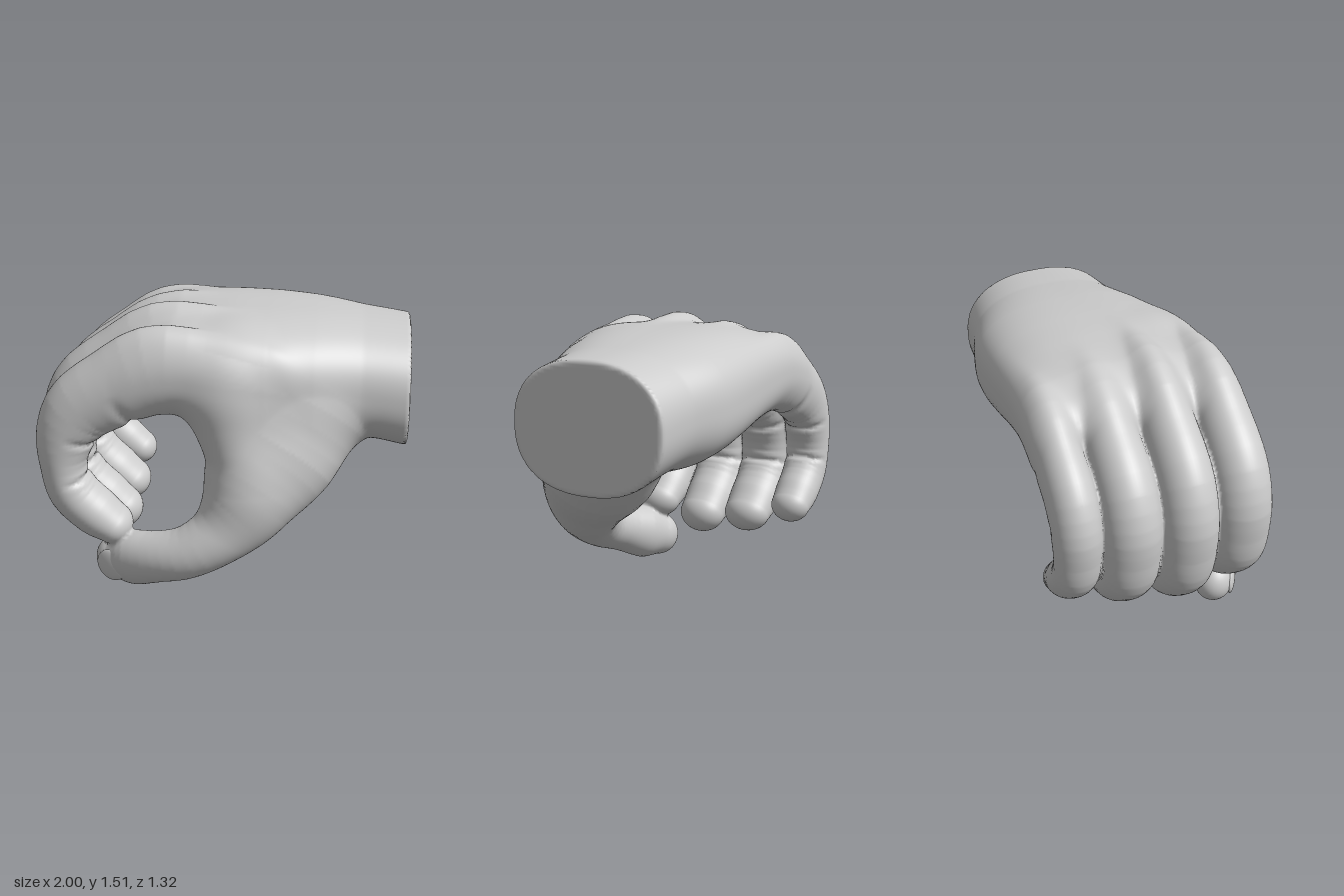
import * as THREE from 'three';

const material = new THREE.MeshStandardMaterial({ color: 0xcccccc, roughness: 0.7 });
const Z = new THREE.Vector3(0, 0, 1);
const { lerp, clamp } = THREE.MathUtils;

// Soft union and soft intersection of two distances
const join = (a, b, k) => Math.min(a, b) - Math.max(k - Math.abs(a - b), 0) ** 2 / (4 * k);
const meet = (a, b, k) => -join(-a, -b, k);

// Distance to a limb swept along a curve, with rounded ends.
// stations: [x, y, z, a, b] with a = half thickness, b = half width towards z.
// creases: places along the curve (0 to 1) folded on the inner side
function limb(stations, creases = [], count = 26) {
  const path = new THREE.CatmullRomCurve3(stations.map(([x, y, z]) => new THREE.Vector3(x, y, z)));
  const size = new THREE.CatmullRomCurve3(stations.map((s) => new THREE.Vector3(s[3], s[4], 0)));
  const spine = Array.from({ length: count + 1 }, (_, i) => {
    const t = path.getTangent(i / count);
    const s = Z.clone().addScaledVector(t, -t.z).normalize();
    const r = size.getPoint(i / count);
    return { c: path.getPoint(i / count), t, s, n: t.clone().cross(s), a: r.x, b: r.y };
  });
  return (x, y, z) => {
    // Nearest spine point, then the exact place between its two neighbours
    const ahead = ({ c, t }) => (x - c.x) * t.x + (y - c.y) * t.y + (z - c.z) * t.z;
    let best = Infinity, seg = 0;
    for (let i = 0; i <= count; i++) {
      const c = spine[i].c;
      const d = (x - c.x) ** 2 + (y - c.y) ** 2 + (z - c.z) ** 2;
      if (d < best) { best = d; seg = i; }
    }
    if (ahead(spine[seg]) < 0) seg--;
    seg = clamp(seg, 0, count - 1);
    const A = spine[seg], B = spine[seg + 1];
    const g0 = ahead(A), g1 = ahead(B);
    const u = g0 <= 0 ? 0 : g1 >= 0 ? 1 : g0 / (g0 - g1);
    const a = lerp(A.a, B.a, u), b = lerp(A.b, B.b, u);
    const dx = x - lerp(A.c.x, B.c.x, u), dy = y - lerp(A.c.y, B.c.y, u), dz = z - lerp(A.c.z, B.c.z, u);
    const along = (k) => dx * lerp(A[k].x, B[k].x, u) + dy * lerp(A[k].y, B[k].y, u) + dz * lerp(A[k].z, B[k].z, u);
    const i = along('n') / a, j = along('s') / b;
    const k = (seg === 0 && g0 < 0 ? g0 : seg === count - 1 && g1 > 0 ? g1 : 0) / a;
    const q = Math.sqrt(i * i + j * j + k * k) + 1e-6;
    let dent = 0;
    for (const at of creases) dent += 0.02 * Math.max(-i / q, 0) * Math.exp(-((((seg + u) / count - at) / 0.016) ** 2));
    return dent + q * (q - 1) / (Math.sqrt((i / a) ** 2 + (j / b) ** 2 + (k / a) ** 2) + 1e-6);
  };
}

// Wrist and palm sections, evenly spaced from the fingers (x = -0.5) to the wrist (x = 1):
// [bottom, top, back, front, squareness]
const PALM = [
  [1.0, 1.34, -0.63, 0.465, 2.9],
  [0.99, 1.45, -0.638, 0.48, 2.8],
  [0.92, 1.47, -0.643, 0.485, 2.8],
  [0.85, 1.468, -0.652, 0.46, 2.75],
  [0.8, 1.45, -0.645, 0.39, 2.6],
  [0.79, 1.415, -0.588, 0.3, 2.4],
  [0.735, 1.385, -0.555, 0.275, 2.35],
];
const heights = new THREE.CatmullRomCurve3(PALM.map((s) => new THREE.Vector3(s[0], s[1], s[4])));
const depths = new THREE.CatmullRomCurve3(PALM.map((s) => new THREE.Vector3(s[2], s[3], 0)));
const SECTIONS = Array.from({ length: 3001 }, (_, i) => [heights.getPoint(i / 3000), depths.getPoint(i / 3000)]);

function palmBlock(x, y, z) {
  const [h, d] = SECTIONS[clamp(Math.round((x + 0.5) * 2000), 0, 3000)];
  const a = (h.y - h.x) / 2, b = (d.y - d.x) / 2, p = h.z;
  const i = Math.abs(y - (h.x + h.y) / 2) / a, j = Math.abs(z - (d.x + d.y) / 2) / b;
  const q = Math.max((i ** p + j ** p) ** (1 / p), 1e-3);
  const side = (q - 1) / (Math.hypot((i / q) ** (p - 1) / a, (j / q) ** (p - 1) / b) + 1e-6);
  return meet(meet(side, -0.5 - x, 0.12), x - 0.988, 0.02);
}

// Skin between thumb and index finger
const web = limb([
  [0.09, 1.22, 0.22, 0.15, 0.16],
  [0.06, 1.1, 0.29, 0.19, 0.2],
  [0.09, 0.94, 0.34, 0.19, 0.19],
  [0.135, 0.78, 0.37, 0.175, 0.185],
  [0.15, 0.6, 0.41, 0.17, 0.17],
]);

const thumb = limb([
  [0.46, 1.08, -0.04, 0.27, 0.28],
  [0.4, 0.92, 0.09, 0.35, 0.34],
  [0.305, 0.735, 0.22, 0.33, 0.33],
  [0.2, 0.575, 0.34, 0.265, 0.27],
  [0.115, 0.45, 0.42, 0.205, 0.21],
  [0.0, 0.35, 0.48, 0.16, 0.17],
  [-0.15, 0.262, 0.5, 0.14, 0.15],
  [-0.3, 0.21, 0.465, 0.138, 0.14],
  [-0.45, 0.16, 0.395, 0.156, 0.132],
  [-0.55, 0.13, 0.345, 0.125, 0.11],
]);

// Curled finger profile: [x, y, half thickness, half width]
const FINGER = [
  [0.25, 1.22, 0.155, 0.08],
  [-0.05, 1.24, 0.21, 0.11],
  [-0.32, 1.245, 0.237, 0.143],
  [-0.53, 1.145, 0.215, 0.153],
  [-0.73, 1.01, 0.19, 0.155],
  [-0.815, 0.84, 0.157, 0.154],
  [-0.825, 0.66, 0.124, 0.149],
  [-0.78, 0.53, 0.132, 0.149],
  [-0.66, 0.41, 0.13, 0.147],
  [-0.57, 0.345, 0.108, 0.135],
];

// name, z, scale about the middle of the curl, width, x and y offset
const FINGERS = [
  ['indexFinger', 0.355, 1, 1, 0, 0],
  ['middleFinger', 0.05, 1.07, 1, 0.012, -0.01],
  ['ringFinger', -0.25, 1, 1, 0.01, -0.012],
  ['littleFinger', -0.53, 0.89, 0.83, 0, 0.005],
].map(([name, z, scale, width, dx, dy]) => {
  const at = (x, y) => [-0.4 + (x + 0.4) * scale + dx, 0.9 + (y - 0.9) * scale + dy, z];
  const stations = FINGER.map(([x, y, a, b]) => [...at(x, y), a * scale, b * width]);
  return { name, scale, width, at, shape: limb(stations, [0.34, 0.53, 0.71]) };
});

// Fingers and thumb each flow softly into the palm but only touch one another
const NAMES = ['palm', 'thumb', ...FINGERS.map((f) => f.name)];
function hand(x, y, z) {
  const palm = join(palmBlock(x, y, z), web(x, y, z), 0.16);
  const parts = [palm, thumb(x, y, z), ...FINGERS.map((f) => f.shape(x, y, z))];
  const value = parts.reduce((sum, d, i) => (i ? join(sum, join(palm, d, i === 1 ? 0.16 : 0.08), 0.022) : d), palm);
  return { value, owner: parts.indexOf(Math.min(...parts)) };
}

// Skin the shape: one vertex in every grid cell the surface crosses, one quad per crossed edge
function skin(group) {
  const h = 0.0185, low = [-1.07, -0.06, -0.73], n = [115, 90, 79];
  const step = [1, n[0], n[0] * n[1]];
  const total = n[0] * n[1] * n[2];
  const cell = (id) => [id % n[0], Math.floor(id / n[0]) % n[1], Math.floor(id / step[2])];
  const field = new Float32Array(total);
  for (let id = 0; id < total; id++) field[id] = hand(...cell(id).map((c, k) => low[k] + c * h)).value;

  const e = 0.007;
  const vertices = new Map();
  const vertex = (id) => {
    if (vertices.has(id)) return vertices.get(id);
    const p = new THREE.Vector3(...cell(id).map((c, k) => low[k] + (c + 0.5) * h));
    const normal = new THREE.Vector3();
    const slope = () => normal.set(
      hand(p.x + e, p.y, p.z).value - hand(p.x - e, p.y, p.z).value,
      hand(p.x, p.y + e, p.z).value - hand(p.x, p.y - e, p.z).value,
      hand(p.x, p.y, p.z + e).value - hand(p.x, p.y, p.z - e).value).divideScalar(2 * e);
    for (let i = 0; i < 3; i++) {
      const size = Math.max(slope().length(), 0.3);
      const move = clamp(hand(p.x, p.y, p.z).value / size, -h * 0.8, h * 0.8);
      p.addScaledVector(normal.normalize(), -move);
    }
    slope().normalize();
    const v = { p, normal, owner: hand(p.x, p.y, p.z).owner };
    vertices.set(id, v);
    return v;
  };

  const parts = NAMES.map(() => ({ position: [], normal: [] }));
  for (let id = 0; id < total; id++) {
    const c = cell(id);
    if (c.some((v, k) => v < 1 || v >= n[k] - 1)) continue;
    for (let d = 0; d < 3; d++) {
      const inside = field[id] < 0;
      if (inside === field[id + step[d]] < 0) continue;
      const u = step[(d + 1) % 3], w = step[(d + 2) % 3];
      const quad = [id, id - u, id - u - w, id - w].map(vertex);
      const { position, normal } = parts[quad[0].owner];
      for (const i of inside ? [0, 1, 2, 0, 2, 3] : [0, 2, 1, 0, 3, 2]) {
        position.push(...quad[i].p.toArray());
        normal.push(...quad[i].normal.toArray());
      }
    }
  }
  parts.forEach(({ position, normal }, i) => {
    const geometry = new THREE.BufferGeometry();
    geometry.setAttribute('position', new THREE.Float32BufferAttribute(position, 3));
    geometry.setAttribute('normal', new THREE.Float32BufferAttribute(normal, 3));
    const mesh = new THREE.Mesh(geometry, material);
    mesh.name = NAMES[i];
    group.add(mesh);
  });
}

// Nail: a thin oval shell half sunk into the fingertip
function nail(name, position, along, normal, length, width) {
  const x = new THREE.Vector3(...along).normalize();
  const y = new THREE.Vector3(...normal);
  y.addScaledVector(x, -y.dot(x)).normalize();
  const mesh = new THREE.Mesh(new THREE.SphereGeometry(1, 28, 16), material);
  mesh.name = name;
  mesh.quaternion.setFromRotationMatrix(new THREE.Matrix4().makeBasis(x, y, x.clone().cross(y)));
  mesh.scale.set(length, 0.025, width);
  mesh.position.set(...position);
  return mesh;
}

export function createModel() {
  const group = new THREE.Group();
  group.name = 'hand';
  skin(group);
  for (const { name, scale, width, at } of FINGERS) {
    group.add(nail(name + 'Nail', at(-0.645, 0.303), [0.76, -0.65, 0], [-0.65, -0.76, 0], 0.08 * scale, 0.085 * width));
  }
  group.add(nail('thumbNail', [-0.57, 0.13, 0.442], [-0.86, -0.2, -0.46], [-0.46, 0.02, 0.88], 0.1, 0.09));
  return group;
}
